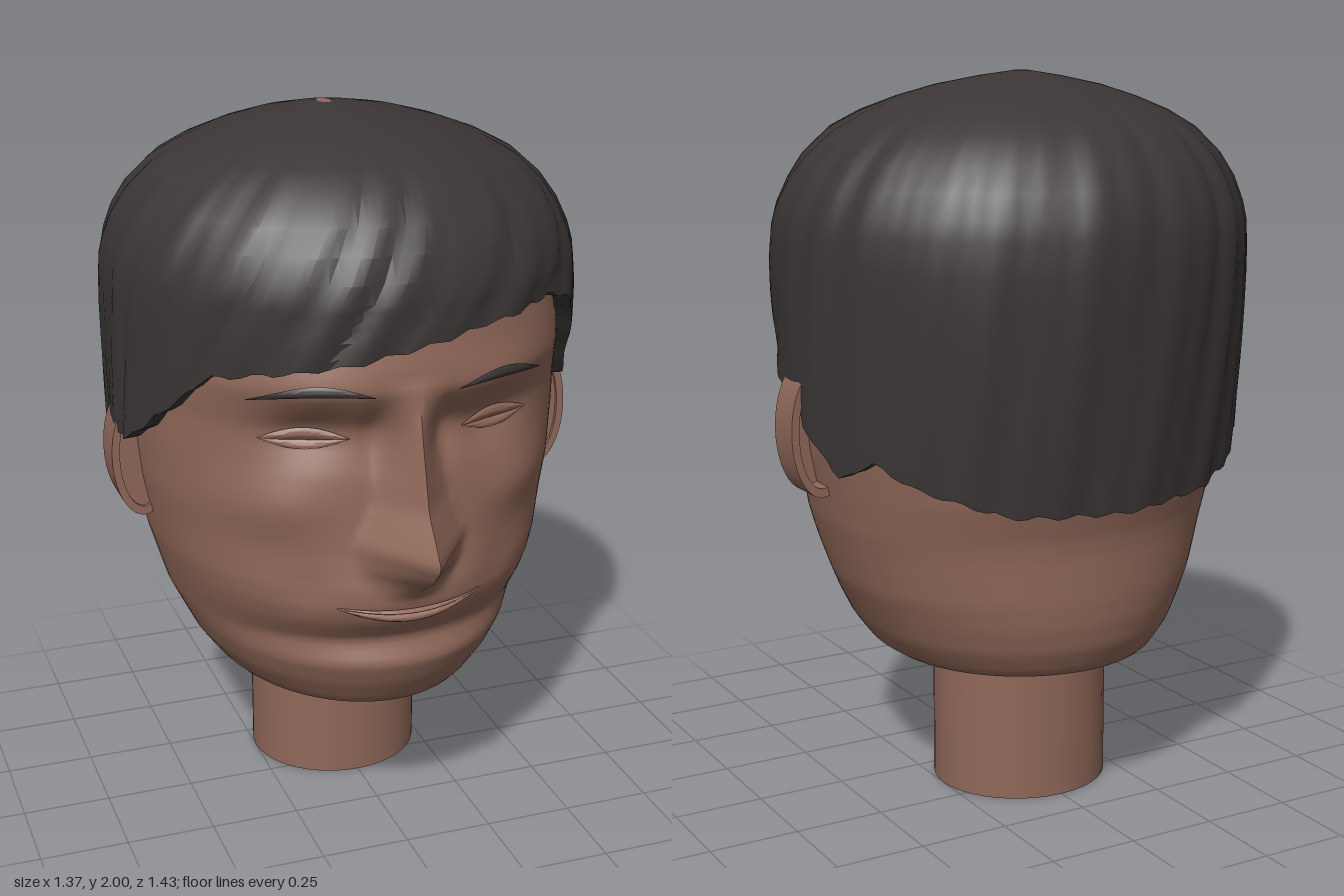
import * as THREE from 'three';
import { toCreasedNormals } from 'three/addons/utils/BufferGeometryUtils.js';

const { sin, cos, abs, sqrt, exp, PI, min, max, sign } = Math;
const skin = new THREE.MeshStandardMaterial({ color: 0x906859 });
skin.name = 'skin';
const hairColor = new THREE.MeshStandardMaterial({ color: 0x3b3535 });
hairColor.name = 'dark hair';
hairColor.side = THREE.DoubleSide;

// Piecewise linear lookup in rows [key, value, value...] with rising keys
function lookup(table, k, col = 1) {
  if (k <= table[0][0]) return table[0][col];
  for (let i = 1; i < table.length; i++) {
    const a = table[i - 1], b = table[i];
    if (k <= b[0]) return a[col] + (b[col] - a[col]) * (k - a[0]) / (b[0] - a[0]);
  }
  return table[table.length - 1][col];
}

// Surface from rows (top to bottom) and columns (left to right)
function grid(rows, cols, point, crease) {
  const pos = [], index = [];
  for (let i = 0; i <= rows; i++) for (let j = 0; j <= cols; j++) pos.push(...point(i, j));
  for (let i = 0; i < rows; i++) for (let j = 0; j < cols; j++) {
    const a = i * (cols + 1) + j, c = a + cols + 1;
    index.push(a, c, a + 1, a + 1, c, c + 1);
  }
  const g = new THREE.BufferGeometry();
  g.setAttribute('position', new THREE.Float32BufferAttribute(pos, 3));
  g.setIndex(index);
  return toCreasedNormals(g, crease);
}

// Head sections: y, half width, front z without nose, back z
const SECTIONS = [
  [0.31, 0.12, 0.16, -0.30], [0.35, 0.25, 0.28, -0.43], [0.40, 0.38, 0.40, -0.52], [0.48, 0.44, 0.45, -0.56],
  [0.55, 0.475, 0.48, -0.575], [0.62, 0.51, 0.45, -0.58], [0.70, 0.535, 0.51, -0.58], [0.75, 0.55, 0.53, -0.58],
  [0.80, 0.565, 0.53, -0.585], [0.90, 0.585, 0.51, -0.61], [1.00, 0.605, 0.50, -0.62], [1.15, 0.62, 0.49, -0.63],
  [1.25, 0.62, 0.50, -0.635], [1.36, 0.62, 0.54, -0.64], [1.42, 0.615, 0.535, -0.64], [1.54, 0.60, 0.512, -0.63],
  [1.70, 0.54, 0.43, -0.57], [1.80, 0.42, 0.30, -0.45], [1.88, 0.22, 0.12, -0.28],
];
// Nose: y, ridge z, half width
const NOSE = [
  [0.77, 0.53, 0.09], [0.83, 0.60, 0.12], [0.87, 0.66, 0.15], [0.93, 0.715, 0.165],
  [0.98, 0.68, 0.14], [1.05, 0.625, 0.11], [1.20, 0.585, 0.09], [1.30, 0.56, 0.09], [1.38, 0.545, 0.10],
];
// Mirrored soft dents and bulges: x, y, spread x, spread y, amount
const RELIEF = [
  [0.25, 1.23, 0.13, 0.07, -0.045], [0.09, 1.23, 0.05, 0.08, -0.025], [0.36, 1.03, 0.13, 0.08, 0.025],
  [0.27, 0.80, 0.07, 0.07, -0.012], [0.27, 1.37, 0.15, 0.05, 0.012],
];
const MID = -0.1;

function faceZ(x, y) {
  const r = min(1, abs(x) / lookup(SECTIONS, y)), c = sqrt(1 - r * r);
  const front = lookup(SECTIONS, y, 2);
  let z = MID + (front - MID) * c;
  for (const [fx, fy, sx, sy, a] of RELIEF)
    z += a * min(1, 2 * c) * exp(-(((abs(x) - fx) / sx) ** 2) - ((y - fy) / sy) ** 2);
  if (y > 0.77 && y < 1.38)
    z += max(0, lookup(NOSE, y) - front) * max(0, 1 - abs(x) / lookup(NOSE, y, 2)) ** 1.15;
  return z;
}

function headGeometry() {
  const ROWS = 92, FRONT = 46, BACK = 18, COLS = 2 * (FRONT + BACK);
  return grid(ROWS, COLS, (i, j) => {
    const pole = i === 0 || i === ROWS;
    let y = 1.88 - 1.57 * min(1, max(0, (i - 1) / (ROWS - 2)));
    const k = j - COLS / 2, u = abs(k) / FRONT; // columns are denser beside the nose
    const t = sign(k) * (u <= 1 ? u ** 1.3 : 1 + (abs(k) - FRONT) / BACK) * PI / 2;
    let x = lookup(SECTIONS, y) * sin(t);
    if (abs(k) === COLS / 2) x = 0;
    let z = u <= 1 ? faceZ(x, y) : MID - (MID - lookup(SECTIONS, y, 3)) * abs(cos(t)) ** 0.9;
    if (pole) { x = 0; z = MID; }
    // jaw underside rises toward the nape
    const lift = min(1, max(0, (0.1 - z) / 0.2)) * min(1, max(0, (0.42 - y) / 0.1));
    y += 0.032 * lift;
    return [x, y, z];
  }, 1.0);
}

// Small patch that follows the face between two curves
function facePatch(x0, x1, top, bottom, bulge) {
  return grid(6, 20, (i, j) => {
    const u = j / 20, v = i / 6, x = x0 + (x1 - x0) * u;
    const y = top(u) + (bottom(u) - top(u)) * v;
    return [x, y, faceZ(x, y) + 0.005 + bulge * sin(PI * v) * sin(PI * u)];
  }, 0.8);
}

// Lower hair edge: angle in degrees from the front toward +x, height
const HAIRLINE = [
  [-180, 0.88], [-150, 0.90], [-131, 0.95], [-117, 1.02], [-108, 0.98], [-100, 1.03], [-93, 1.12], [-78, 1.14],
  [-69, 1.21], [-57, 1.31], [-49, 1.39], [-37, 1.41], [-17, 1.44], [0, 1.48], [17, 1.515], [41, 1.54],
  [52, 1.50], [63, 1.41], [73, 1.25], [78, 1.18], [91, 1.16], [94, 1.10], [101, 1.02], [108, 0.96],
  [117, 1.02], [131, 0.95], [142, 0.92], [150, 0.89], [180, 0.88],
];
// Crown: radius fraction, height
const CROWN = [
  [0.03, 2.0], [0.18, 1.985], [0.35, 1.962], [0.5, 1.932], [0.64, 1.895], [0.76, 1.85],
  [0.87, 1.78], [0.935, 1.715], [0.975, 1.65], [0.992, 1.60],
];

function hairGeometry() {
  const COLS = 144, SIDE = 8, TOP = CROWN.length - 1;
  return grid(TOP + SIDE + 1, COLS, (i, j) => {
    const deg = -180 + 360 * (j % COLS) / COLS, a = deg * PI / 180;
    const edge = lookup(HAIRLINE, deg) + 0.006 * sin(a * 37);
    let s, y;
    if (i <= TOP) [s, y] = CROWN[i];
    else {
      y = 1.6 + (edge - 1.6) * min(1, (i - TOP) / SIDE);
      s = min(1, 0.992 + (1.6 - y) * 0.08);
      // nape tucks inward
      s -= 0.085 * max(0, -cos(a)) * (max(0, 1.5 - y) / 0.62) ** 1.5;
    }
    // combed locks, swept sideways over the forehead
    const sweep = (2 - y) * (1.2 * max(0, cos(a)) + 0.25);
    const lock = 0.6 * abs(sin(9.5 * (a + sweep) + sin(3 * a))) + 0.4 * abs(sin(16 * (a + 0.7 * sweep)));
    let r = s + 0.026 * (lock - 0.5) * min(1, max(0, (s - 0.4) / 0.45));
    if (i > TOP + SIDE) r -= 0.07; // underside rim
    const x = -0.005 - 0.038 * (1 - s) + 0.664 * r * sin(a);
    return [x, y, -0.085 + 0.633 * r * cos(a)];
  }, 0.38);
}

function earRim(rx, ry, hole) {
  const shape = new THREE.Shape();
  shape.absellipse(0, 0, rx, ry, 0, PI * 2, false);
  if (hole) {
    const inner = new THREE.Path();
    inner.absellipse(0, 0, rx - 0.022, ry - 0.025, 0, PI * 2, true);
    shape.holes.push(inner);
  }
  const g = new THREE.ExtrudeGeometry(shape, { depth: hole ? 0.11 : 0.03, bevelEnabled: false, curveSegments: 20 });
  return toCreasedNormals(g, 0.6);
}

export function createModel() {
  const model = new THREE.Group();
  model.name = 'headBust';
  const add = (name, geometry, material, x = 0, y = 0, z = 0) => {
    const mesh = new THREE.Mesh(geometry, material);
    mesh.name = name;
    mesh.position.set(x, y, z);
    model.add(mesh);
    return mesh;
  };

  add('head', headGeometry(), skin);
  add('neck', new THREE.CylinderGeometry(0.25, 0.25, 0.5, 40), skin, 0, 0.25, -0.153).scale.z = 0.95;
  add('hair', hairGeometry(), hairColor);

  // Small bare spot at the crown
  const spot = add('crownSpot', new THREE.CircleGeometry(1, 20).rotateX(-PI / 2), skin, -0.043, 2.0, -0.085);
  spot.scale.set(0.02, 1, 0.036);

  // Lips
  const lipTop = u => 0.757 - 0.012 * sin(PI * u), lipMid = u => 0.754 - 0.026 * sin(PI * u);
  const lipLow = u => 0.752 - 0.054 * sin(PI * u);
  add('upperLip', facePatch(-0.205, 0.205, lipTop, lipMid, 0.014), skin);
  add('lowerLip', facePatch(-0.205, 0.205, lipMid, lipLow, 0.016), skin);

  for (const side of [1, -1]) {
    const label = side > 0 ? 'left' : 'right';
    const span = (a, b) => side > 0 ? [a, b] : [-b, -a];
    const along = f => u => f(side > 0 ? u : 1 - u);

    // Eyebrow, running from the nose outward
    const browTop = along(u => 1.355 - 0.02 * u + 0.043 * sin(PI * u));
    const browLow = along(u => 1.353 - 0.02 * u + 0.016 * sin(PI * u));
    add(label + 'Eyebrow', facePatch(...span(0.115, 0.415), browTop, browLow, 0.006), hairColor);

    // Closed eyelids
    const lidTop = u => 1.22 + 0.03 * sin(PI * u), lidMid = u => 1.22 - 0.006 * sin(PI * u);
    const lidLow = u => 1.22 - 0.03 * sin(PI * u);
    add(label + 'UpperEyelid', facePatch(...span(0.155, 0.385), lidTop, lidMid, 0.012), skin);
    add(label + 'LowerEyelid', facePatch(...span(0.155, 0.385), lidMid, lidLow, 0.006), skin);

    // Ear rim and inner ear
    add(label + 'EarRim', earRim(0.087, 0.18, true), skin, side * 0.6, 1.06, -0.13);
    add(label + 'InnerEar', earRim(0.07, 0.16, false), skin, side * 0.6, 1.06, -0.06);
  }
  return model;
}
